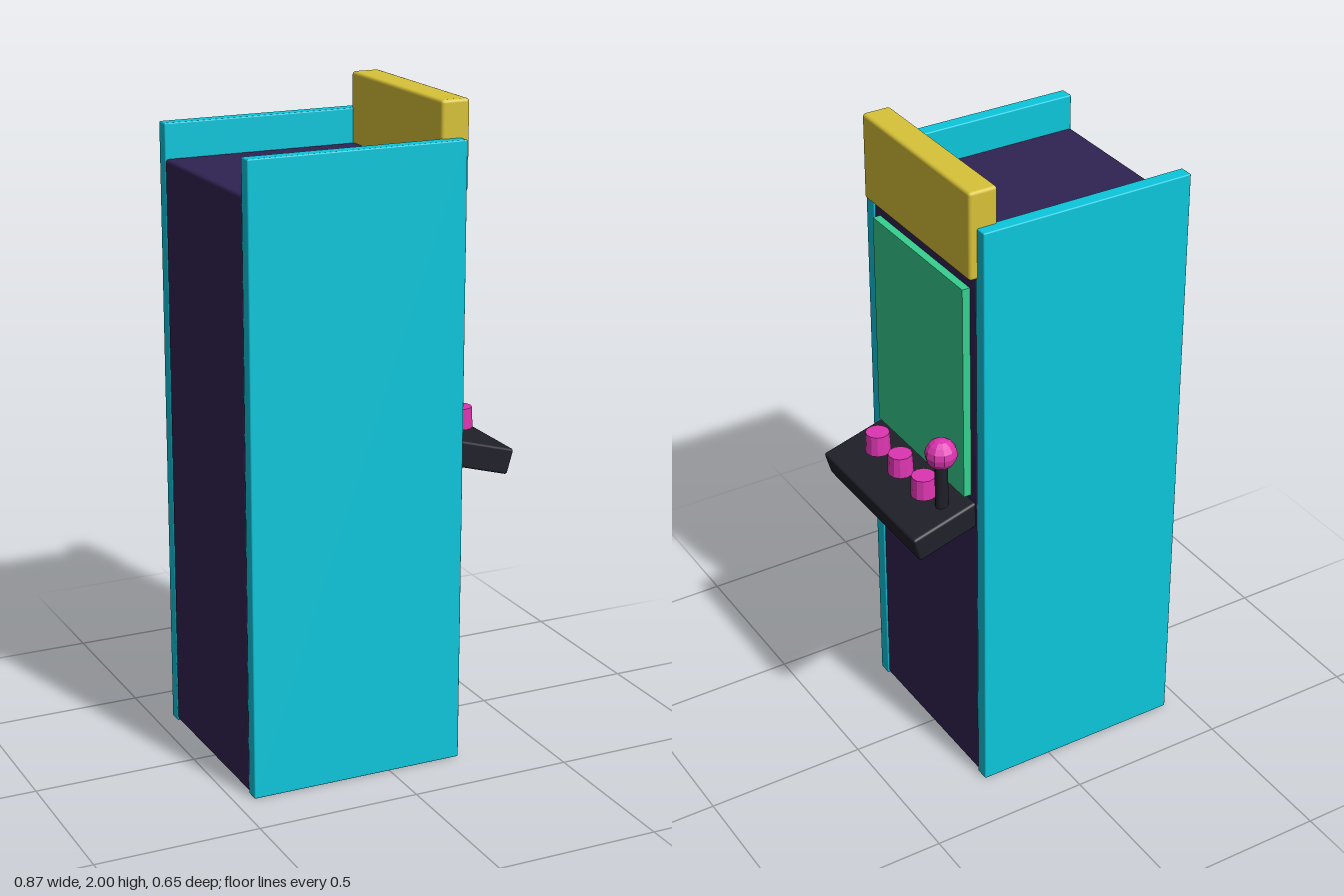
import * as THREE from 'three';
import { RoundedBoxGeometry } from 'three/addons/geometries/RoundedBoxGeometry.js';

const material = (name, color, flatShading = false) => {
  const m = new THREE.MeshStandardMaterial({ color, flatShading });
  m.name = name;
  return m;
};

export function createModel() {
  const group = new THREE.Group();
  group.name = 'arcadeCabinet';

  const cyan = material('cyan', 0x0cc6dc);
  const purple = material('purple', 0x302352);
  const yellow = material('yellow', 0xd8c238);
  const green = material('green', 0x36d090);
  const black = material('black', 0x20202a);
  const pink = material('pink', 0xdc35b0, true);

  const add = (name, geometry, mat, x, y, z) => {
    const mesh = new THREE.Mesh(geometry, mat);
    mesh.name = name;
    mesh.position.set(x, y, z);
    group.add(mesh);
    return mesh;
  };

  // Box given by its limits, with softened edges when bevel > 0
  const box = (name, mat, [x0, x1], [y0, y1], [z0, z1], bevel = 0) => {
    const size = [x1 - x0, y1 - y0, z1 - z0];
    const geometry = bevel
      ? new RoundedBoxGeometry(...size, 2, bevel)
      : new THREE.BoxGeometry(...size);
    return add(name, geometry, mat, (x0 + x1) / 2, (y0 + y1) / 2, (z0 + z1) / 2);
  };

  // Cabinet, facing +x, between two taller side panels
  box('body', purple, [-0.44, 0.23], [0.005, 1.785], [-0.283, 0.283], 0.01);
  for (const [name, side] of [['sidePanelNear', 1], ['sidePanelFar', -1]]) {
    const z = [0.281 * side, 0.325 * side].sort((a, b) => a - b);
    box(name, cyan, [-0.44, 0.232], [0, 1.89], z, 0.004);
  }

  // Sign board and screen
  box('marquee', yellow, [0.167, 0.256], [1.735, 2], [-0.291, 0.291], 0.01);
  box('screen', green, [0.2, 0.254], [1.012, 1.69], [-0.248, 0.248]);

  // Sloping control deck
  const deck = add('controlDeck', new RoundedBoxGeometry(0.3, 0.08, 0.54, 2, 0.008), black, 0.28, 0.938, 0);
  deck.rotation.z = -0.28;

  // Push buttons
  const buttonGeometry = new THREE.CylinderGeometry(0.036, 0.039, 0.064, 12);
  [0.135, 0, -0.135].forEach((z, i) => add(`button${i + 1}`, buttonGeometry, pink, 0.322, 1.015, z));

  // Joystick
  add('joystickShaft', new THREE.CylinderGeometry(0.02, 0.02, 0.18, 8), black, 0.3, 1.06, -0.2);
  add('joystickBall', new THREE.SphereGeometry(0.048, 10, 8), pink, 0.3, 1.15, -0.2);

  return group;
}
